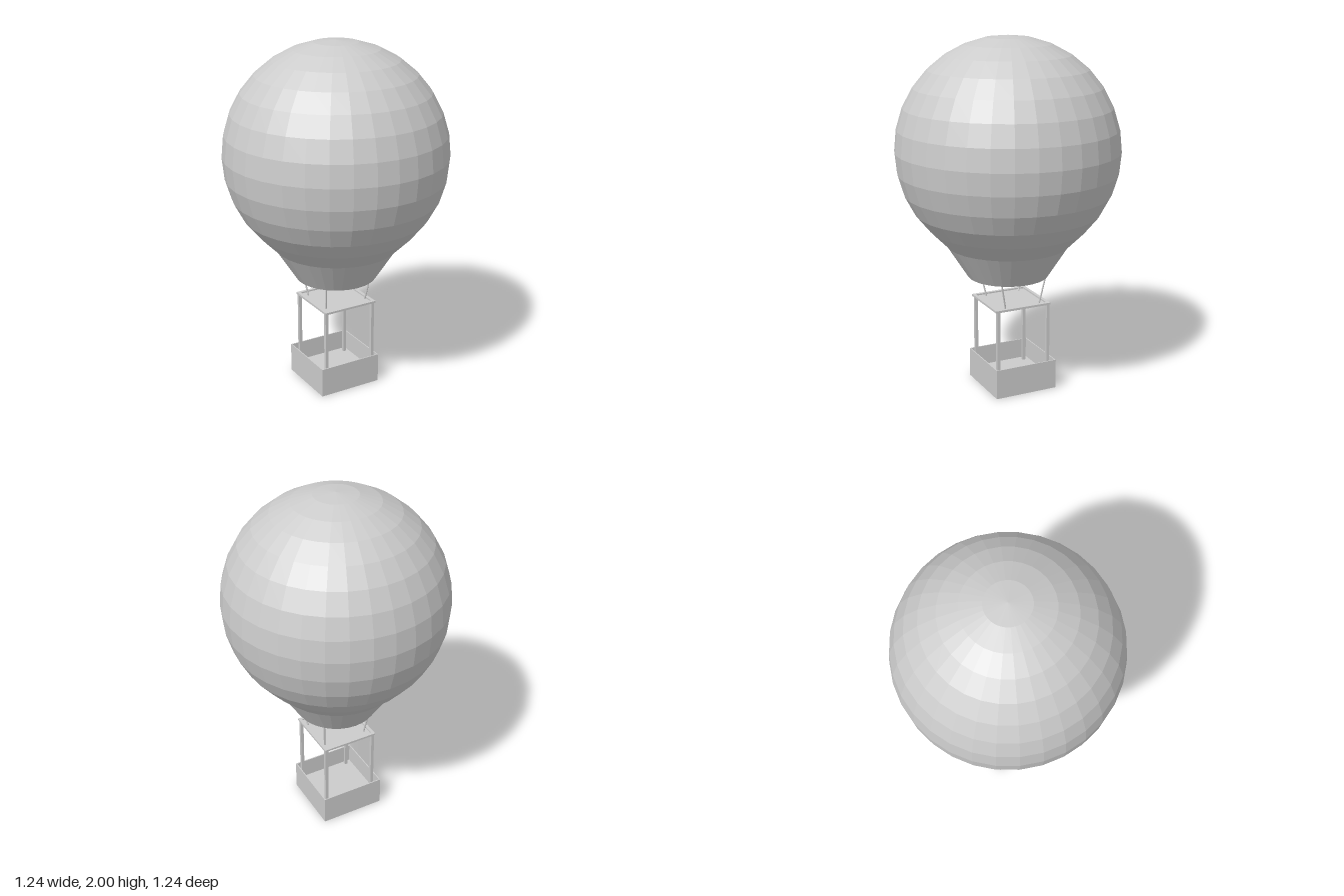
import * as THREE from 'three';

const grey = new THREE.MeshStandardMaterial({ color: 0xcccccc, flatShading: true });
const greyThin = new THREE.MeshStandardMaterial({ color: 0xcccccc, flatShading: true, side: THREE.DoubleSide });

function add(parent, name, geometry, material = grey) {
  const mesh = new THREE.Mesh(geometry, material);
  mesh.name = name;
  parent.add(mesh);
  return mesh;
}

// Box given by its low and high corners
function box(parent, name, [x0, y0, z0], [x1, y1, z1]) {
  const mesh = add(parent, name, new THREE.BoxGeometry(x1 - x0, y1 - y0, z1 - z0));
  mesh.position.set((x0 + x1) / 2, (y0 + y1) / 2, (z0 + z1) / 2);
  return mesh;
}

// Open tray: four walls around a raised floor
function tray(name, [x0, y0, z0], [x1, y1, z1], wall, floorY) {
  const group = new THREE.Group();
  group.name = name;
  box(group, name + 'Floor', [x0 + wall, y0, z0 + wall], [x1 - wall, floorY, z1 - wall]);
  box(group, name + 'LeftWall', [x1 - wall, y0, z0], [x1, y1, z1]);
  box(group, name + 'RightWall', [x0, y0, z0], [x0 + wall, y1, z1]);
  box(group, name + 'FrontWall', [x0 + wall, y0, z1 - wall], [x1 - wall, y1, z1]);
  box(group, name + 'BackWall', [x0 + wall, y0, z0], [x1 - wall, y1, z0 + wall]);
  return group;
}

// Thin rod between two points
function rod(parent, name, a, b, radius) {
  const dir = b.clone().sub(a);
  const mesh = add(parent, name, new THREE.CylinderGeometry(radius, radius, dir.length(), 6));
  mesh.position.copy(a).add(b).multiplyScalar(0.5);
  mesh.quaternion.setFromUnitVectors(new THREE.Vector3(0, 1, 0), dir.normalize());
}

export function createModel() {
  const model = new THREE.Group();
  model.name = 'hotAirBalloon';

  // Envelope: faceted sphere running into a tapered, open mouth
  const R = 0.622, centreY = 1.378;
  const profile = [new THREE.Vector2(0.228, 0.66), new THREE.Vector2(0.344, 0.842)];
  for (let i = 4; i <= 16; i++) {
    const a = (i / 16) * Math.PI;
    profile.push(new THREE.Vector2(i === 16 ? 0 : R * Math.sin(a), centreY - R * Math.cos(a)));
  }
  add(model, 'envelope', new THREE.LatheGeometry(profile, 32), greyThin);

  // Basket and the shallow frame above it
  model.add(tray('basket', [-0.185, 0, -0.212], [0.19, 0.17, 0.16], 0.006, 0.055));
  model.add(tray('upperFrame', [-0.158, 0.502, -0.184], [0.17, 0.514, 0.154], 0.018, 0.506));

  // Corner posts and suspension ropes
  for (const sx of [-1, 1]) {
    for (const sz of [-1, 1]) {
      const corner = (sz > 0 ? 'front' : 'back') + (sx > 0 ? 'Left' : 'Right');
      const px = 0.007 + sx * 0.151, pz = -0.018 + sz * 0.154, h = 0.009;
      box(model, corner + 'Post', [px - h, 0.05, pz - h], [px + h, 0.504, pz + h]);
      rod(model, corner + 'Rope',
        new THREE.Vector3(0.014 + sx * 0.128, 0.505, -0.021 + sz * 0.104),
        new THREE.Vector3(0.014 + sx * 0.154, 0.74, -0.019 + sz * 0.15), 0.005);
    }
  }
  return model;
}
